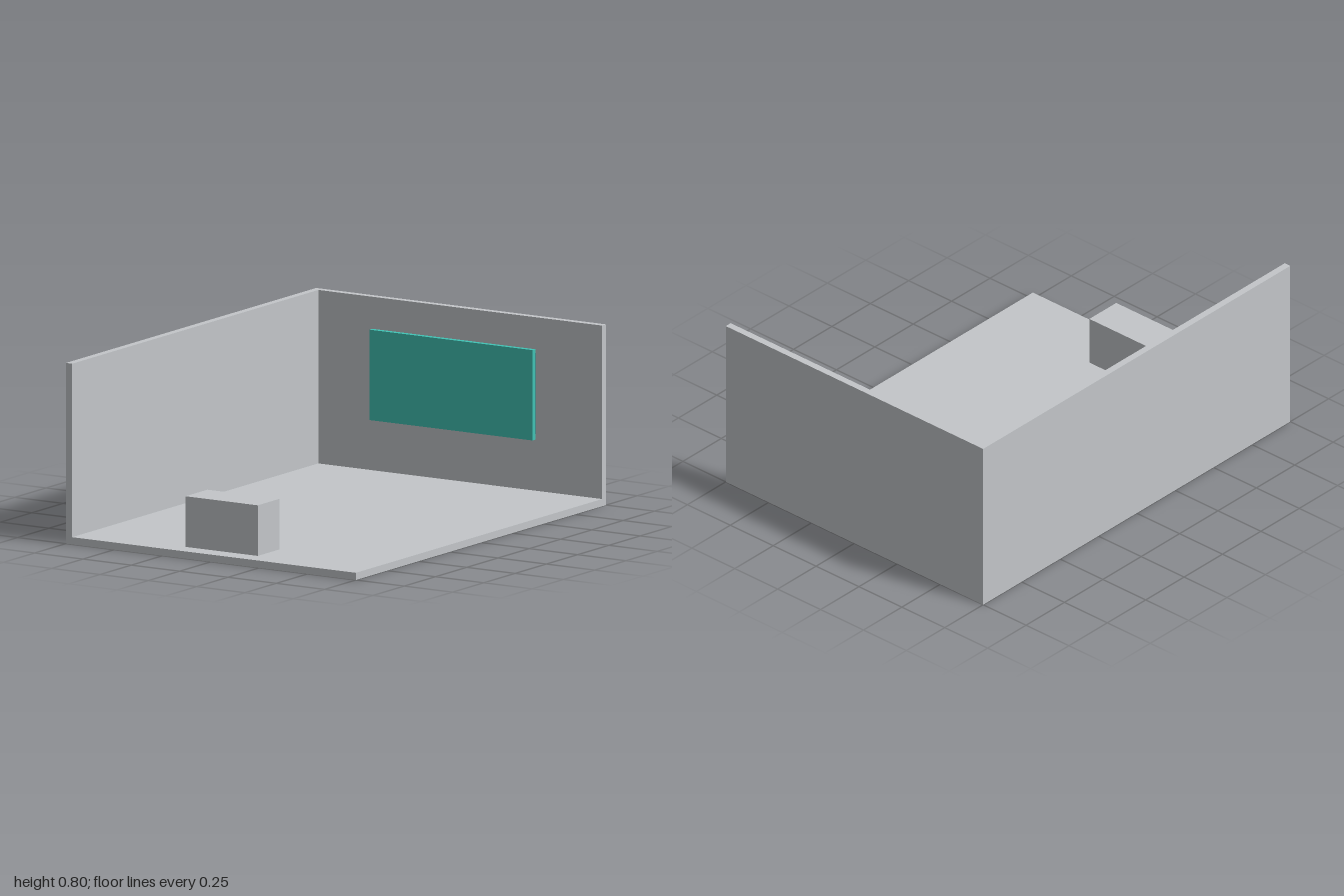
import * as THREE from 'three';

export function createModel() {
  const model = new THREE.Group();
  model.name = 'room';

  const material = (name, color) => {
    const m = new THREE.MeshStandardMaterial({ color });
    m.name = name;
    return m;
  };
  const grey = material('light grey', 0xc3c6c9);
  const teal = material('teal', 0x41c2b4);
  const dark = material('dark slate', 0x47525c);

  // Box given by its extents on each axis
  const box = (name, mat, [x0, x1], [y0, y1], [z0, z1]) => {
    const mesh = new THREE.Mesh(new THREE.BoxGeometry(x1 - x0, y1 - y0, z1 - z0), mat);
    mesh.position.set((x0 + x1) / 2, (y0 + y1) / 2, (z0 + z1) / 2);
    mesh.name = name;
    model.add(mesh);
  };

  const W = 0.75, H = 0.8, T = 0.032;

  // Room shell: floor and two walls
  box('floor', grey, [-W, W], [0, T], [-1, 1]);
  box('sideWall', grey, [-W, -W + T], [T, H], [-1, 1]);
  box('backWall', grey, [-W + T, W], [T, H], [-1, -1 + T]);

  // Wall screen in front of its mounting panel
  box('screenMount', dark, [-0.412, 0.412], [0.285, 0.643], [-0.96, -0.943]);
  box('screen', teal, [-0.422, 0.422], [0.264, 0.664], [-0.943, -0.919]);

  // Low block near the open front
  box('bench', grey, [-0.187, 0.187], [T, 0.256], [0.739, 0.914]);

  return model;
}
